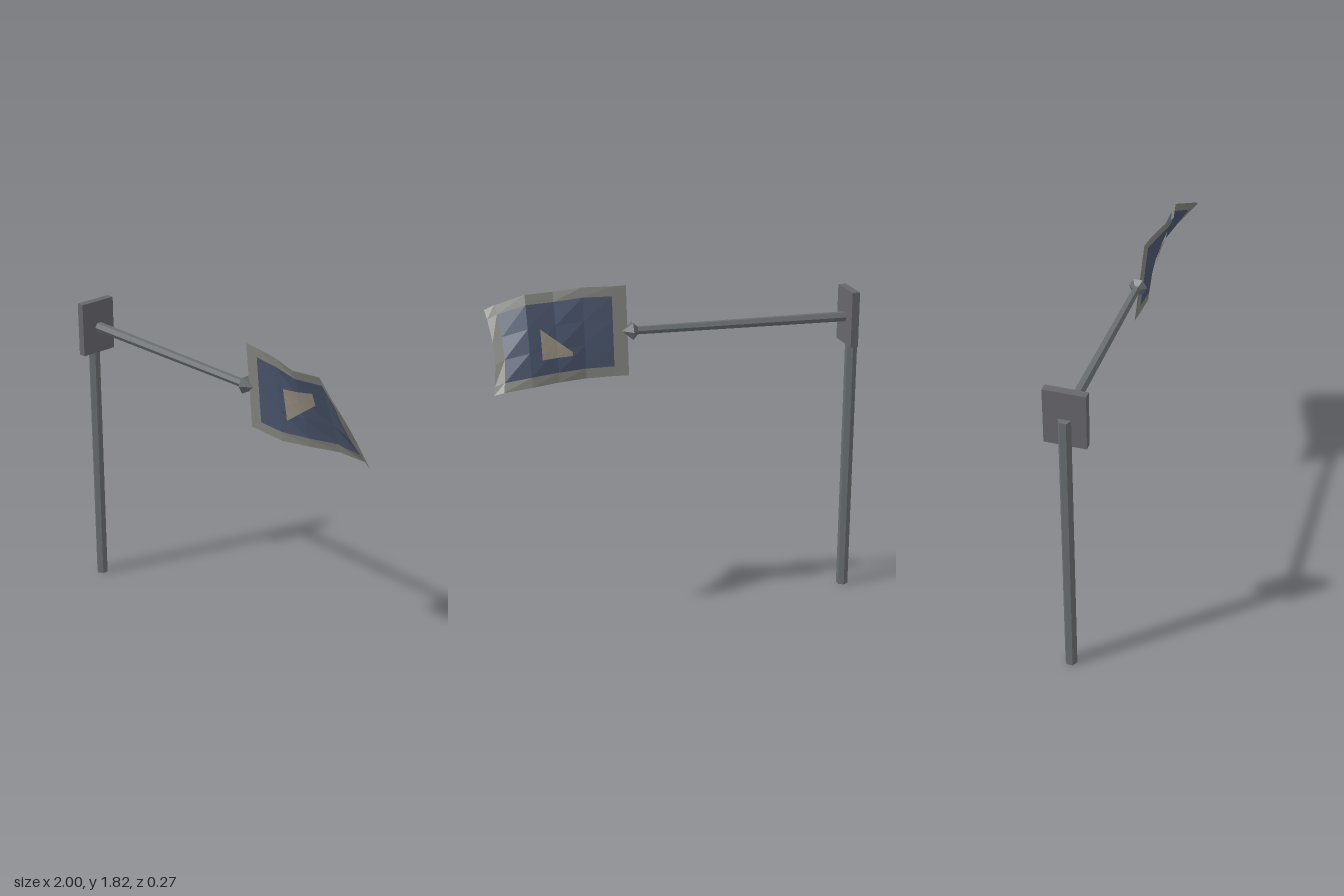
import * as THREE from 'three';

const mat = (color, side = THREE.FrontSide) =>
  new THREE.MeshStandardMaterial({ color, flatShading: true, side });

// Cloth columns: x, top y, bottom y, then z at top, middle and bottom
const COLS = [
  [0.275, 1.815, 1.345, 0.025, 0.0, -0.025],
  [0.35, 1.812, 1.345, 0.03, 0.005, -0.02],
  [0.5, 1.81, 1.342, 0.055, 0.015, -0.015],
  [0.65, 1.79, 1.345, 0.08, 0.0, -0.06],
  [0.8, 1.79, 1.345, 0.05, -0.04, -0.12],
  [0.95, 1.73, 1.335, 0.115, -0.01, -0.14],
  [1.0, 1.705, 1.318, 0.13, -0.02, -0.12],
];
const ROWS = [0, 0.11, 0.37, 0.63, 0.89, 1]; // top to bottom

// Point of the cloth at fractional column c and height fraction v
function clothPoint(c, v) {
  const i = Math.min(Math.floor(c), COLS.length - 2);
  const [x, top, bottom, a, m, b] = COLS[i].map((s, k) => s + (COLS[i + 1][k] - s) * (c - i));
  const z = a * (1 - v) * (1 - 2 * v) + m * 4 * v * (1 - v) + b * v * (2 * v - 1);
  const pull = c > 4 ? 0.025 * 4 * v * (1 - v) * Math.min(1, c - 4) : 0;
  return new THREE.Vector3(x - pull, top + (bottom - top) * v, z);
}

// Open faceted surface from quads (corners counter-clockwise from the front)
function quadMesh(name, quads, color) {
  const pts = [];
  for (const [a, b, c, d] of quads) pts.push(a, b, d, b, c, d);
  const geo = new THREE.BufferGeometry().setFromPoints(pts);
  geo.computeVertexNormals();
  const mesh = new THREE.Mesh(geo, mat(color, THREE.DoubleSide));
  mesh.name = name;
  return mesh;
}

// Emblem patch between an upper and a lower line, laid just off the cloth
function emblemPatch(name, x0, x1, upper, lower, offset) {
  const at = (x, y) => {
    let i = 0;
    while (i < COLS.length - 2 && COLS[i + 1][0] < x) i++;
    const c = i + (x - COLS[i][0]) / (COLS[i + 1][0] - COLS[i][0]);
    const top = clothPoint(c, 0).y, bottom = clothPoint(c, 1).y;
    return new THREE.Vector3(x, y, clothPoint(c, (top - y) / (top - bottom)).z + offset);
  };
  const quads = [], n = 4, lerp = THREE.MathUtils.lerp;
  const p = (i, j) => {
    const t = i / n;
    return at(lerp(x0, x1, t), lerp(lerp(...upper, t), lerp(...lower, t), j / 2));
  };
  for (let i = 0; i < n; i++)
    for (let j = 0; j < 2; j++)
      quads.push([p(i, j + 1), p(i + 1, j + 1), p(i + 1, j), p(i, j)]);
  return quadMesh(name, quads, 0x9a9184);
}

export function createModel() {
  const group = new THREE.Group();
  const add = (name, geo, color, x, y, z) => {
    const mesh = new THREE.Mesh(geo, mat(color));
    mesh.name = name;
    mesh.position.set(x, y, z);
    group.add(mesh);
    return mesh;
  };
  const metal = 0x696d70;

  // Upright post and mounting plate
  add('post', new THREE.CylinderGeometry(0.033, 0.033, 1.58, 6), metal, -0.972, 0.79, 0.005);
  add('mountingPlate', new THREE.BoxGeometry(0.042, 0.3, 0.215), 0x66666c, -0.948, 1.58, 0.004);

  // Horizontal arm, slightly tapered
  const arm = add('arm', new THREE.CylinderGeometry(0.022, 0.028, 1.19, 6), metal, -0.355, 1.578, 0);
  arm.rotation.z = -Math.PI / 2;

  // Pointed finial at the arm's end
  const profile = [[0, 0], [0.02, 0], [0.05, 0.03], [0, 0.085]].map((p) => new THREE.Vector2(...p));
  const finial = add('finial', new THREE.LatheGeometry(profile, 6), metal, 0.22, 1.578, 0);
  finial.rotation.z = -Math.PI / 2;

  // Waving flag: outer cells are the border, inner cells the field
  const flag = new THREE.Group();
  flag.name = 'flag';
  const border = [], field = [];
  const nc = COLS.length - 1, nr = ROWS.length - 1;
  for (let i = 0; i < nc; i++)
    for (let j = 0; j < nr; j++) {
      const edge = i === 0 || j === 0 || i === nc - 1 || j === nr - 1;
      (edge ? border : field).push([
        clothPoint(i, ROWS[j + 1]), clothPoint(i + 1, ROWS[j + 1]),
        clothPoint(i + 1, ROWS[j]), clothPoint(i, ROWS[j]),
      ]);
    }
  flag.add(quadMesh('flagBorder', border, 0x83837e));
  flag.add(quadMesh('flagField', field, 0x4a556c));

  // Emblem patches on the two faces
  flag.add(emblemPatch('frontEmblem', 0.545, 0.735, [1.65, 1.68], [1.47, 1.61], 0.008));
  flag.add(emblemPatch('backEmblem', 0.57, 0.735, [1.49, 1.62], [1.47, 1.47], -0.008));
  group.add(flag);
  return group;
}
